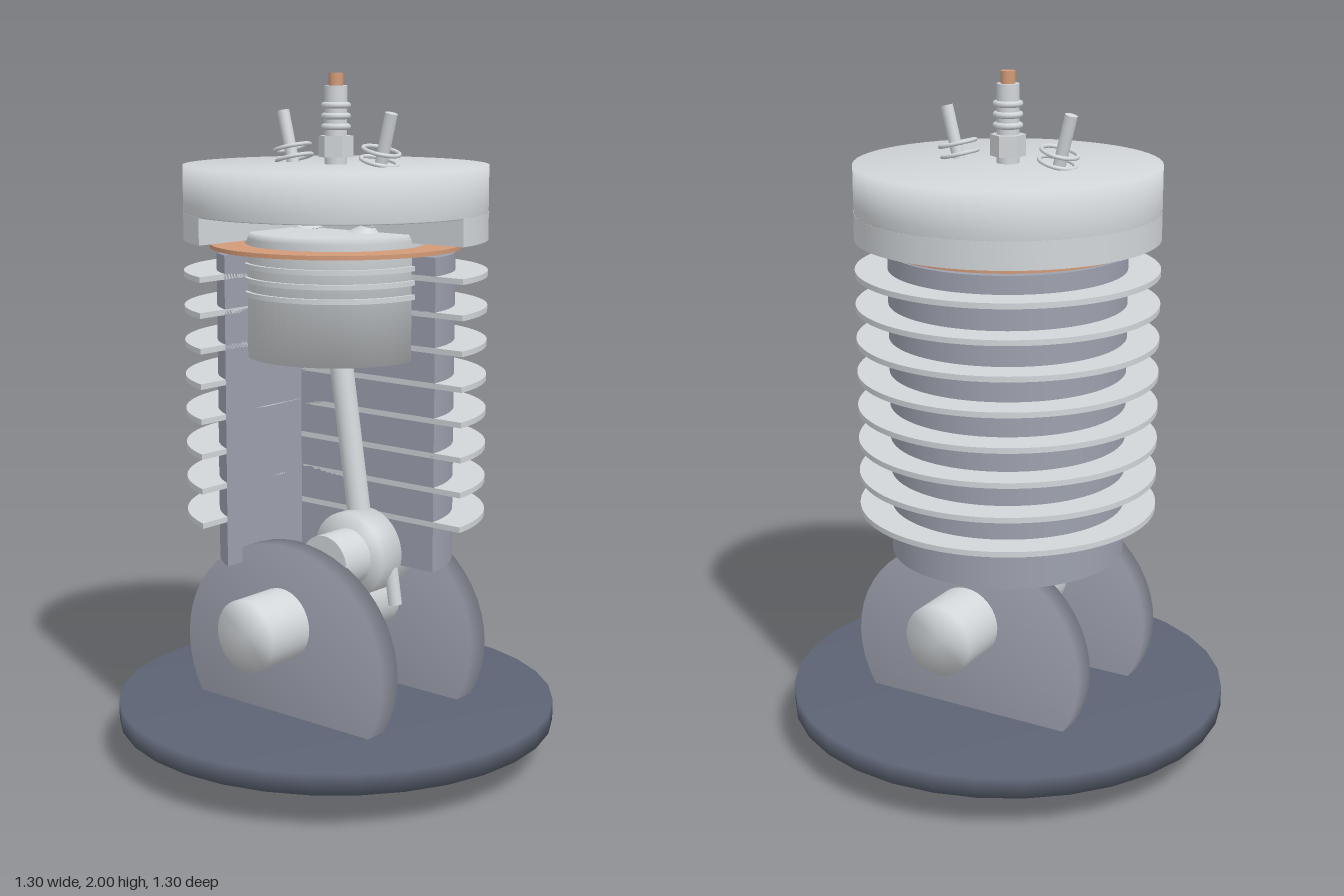
import * as THREE from 'three';
import { toCreasedNormals } from 'three/addons/utils/BufferGeometryUtils.js';

const mat = (name, color) => {
  const m = new THREE.MeshStandardMaterial({ color });
  m.name = name;
  return m;
};

const cyl = (r, h, n = 32, r2 = r) => new THREE.CylinderGeometry(r, r2, h, n);

// Turned part from [radius, y] points, listed from the bottom up
const turned = (points, n) =>
  new THREE.LatheGeometry(points.map(([x, y]) => new THREE.Vector2(x, y)), n);

// Centred disc whose shading rolls softly over the rims
const softDisc = (r, h, n = 40) => turned([[0, -h / 2], [r, -h / 2], [r, h / 2], [0, h / 2]], n);

// Solid disc with the front-left quadrant cut away, standing on y = 0
function cutDisc(r, height) {
  const cx = -0.15, cz = 0.02;
  const edge = -Math.sqrt(r * r - cx * cx);
  const s = new THREE.Shape();
  s.moveTo(cx, cz);
  s.lineTo(cx, edge);
  s.absarc(0, 0, r, Math.atan2(edge, cx), Math.asin(cz / r), true);
  s.closePath();
  const g = new THREE.ExtrudeGeometry(s, { depth: height, bevelEnabled: false, curveSegments: 56 });
  g.rotateX(-Math.PI / 2);
  return toCreasedNormals(g, 0.5);
}

export function createModel() {
  const slate = mat('dark slate', 0x5c6373);
  const steel = mat('blue grey steel', 0x9da1ae);
  const silver = mat('light metal', 0xd2d6d9);
  const copper = mat('copper', 0xd29a77);

  const model = new THREE.Group();
  model.name = 'cutawayEngine';
  const add = (name, geo, material, x = 0, y = 0, z = 0, parent = model) => {
    const m = new THREE.Mesh(geo, material);
    m.name = name;
    m.position.set(x, y, z);
    parent.add(m);
    return m;
  };

  // Round base
  add('base', softDisc(0.648, 0.06, 32), slate, 0, 0.14, 0);

  // Crankshaft: two webs, main shaft and crank pin
  for (const side of [-1, 1]) {
    const web = softDisc(0.37, 0.07, 48).rotateX(Math.PI / 2).scale(1, 0.91, 1);
    add('crankWeb', web, steel, 0, 0.338, side * 0.21);
  }
  add('mainShaft', softDisc(0.105, 0.8, 32).rotateX(Math.PI / 2), silver, 0, 0.443, 0);
  add('crankPin', cyl(0.083, 0.36).rotateX(Math.PI / 2), silver, 0.105, 0.625, 0);

  // Connecting rod with big end and its bolts
  const rod = new THREE.Group();
  rod.name = 'connectingRod';
  rod.position.set(0.105, 0.63, 0);
  rod.rotation.z = Math.atan2(0.105, 0.67);
  model.add(rod);
  add('rodShank', cyl(0.034, 0.6, 20), silver, 0, 0.38, 0, rod);
  add('bigEnd', softDisc(0.125, 0.14, 32).rotateX(Math.PI / 2), silver, 0, 0, 0, rod);
  for (const x of [-0.095, 0.095]) add('rodBolt', cyl(0.02, 0.14, 12), silver, x, -0.09, 0, rod);

  // Cylinder block and its cooling fins
  add('cylinderBlock', cutDisc(0.342, 0.9), steel, 0, 0.6, 0);
  for (let i = 0; i < 8; i++) {
    add('coolingFin', cutDisc(0.435, 0.016), silver, 0, 0.732 + i * 0.1, 0);
  }

  // Piston with three rings
  add('piston', turned([[0, 1.2], [0.26, 1.2], [0.26, 1.54], [0.25, 1.558], [0, 1.558]], 40), silver);
  for (const y of [1.385, 1.425, 1.465]) add('pistonRing', cyl(0.272, 0.014, 40), silver, 0, y, 0);

  // Head gasket
  const gasket = new THREE.Shape().absarc(0, 0, 0.36, 0, Math.PI * 2);
  gasket.holes.push(new THREE.Path().absarc(0, 0, 0.255, 0, Math.PI * 2));
  const gasketGeo = new THREE.ExtrudeGeometry(gasket, { depth: 0.012, bevelEnabled: false, curveSegments: 40 });
  add('headGasket', gasketGeo.rotateX(-Math.PI / 2), copper, 0, 1.51, 0);

  // Cylinder head: full crown over a cut-away skirt of the same radius
  const crown = [[0, 1.61], [0.432, 1.61], [0.435, 1.613], [0.435, 1.64], [0.435, 1.745], [0, 1.745]];
  add('headCrown', turned(crown, 56), silver);
  add('headSkirt', cutDisc(0.435, 0.078), silver, 0, 1.535, 0);

  // Tilted valves with springs, mirrored
  for (const side of [-1, 1]) {
    const valve = new THREE.Group();
    valve.name = side > 0 ? 'leftValve' : 'rightValve';
    valve.position.set(side * 0.115, 1.562, 0);
    valve.rotation.z = -side * 0.25;
    model.add(valve);
    add('valveStem', cyl(0.018, 0.34, 16), silver, 0, 0.17, 0, valve);
    add('valveHead', cyl(0.016, 0.03, 24, 0.055), silver, 0, 0, 0, valve);
    for (const y of [0.2, 0.23]) {
      const ring = new THREE.TorusGeometry(0.052, 0.006, 8, 28).rotateX(Math.PI / 2);
      add('valveSpring', ring, silver, -side * 0.008, y, 0, valve);
    }
  }

  // Spark plug: hexagonal nut, ribbed insulator and terminal
  const nut = cyl(0.05, 0.06, 6).toNonIndexed();
  nut.computeVertexNormals();
  add('plugNut', nut, silver, 0, 1.795, 0);
  add('plugBody', cyl(0.032, 0.225, 24), silver, 0, 1.8525, 0);
  for (const y of [1.85, 1.88, 1.91]) {
    add('plugRib', new THREE.TorusGeometry(0.034, 0.009, 8, 24).rotateX(Math.PI / 2), silver, 0, y, 0);
  }
  add('plugTerminal', cyl(0.021, 0.04, 20), copper, 0, 1.98, 0);

  return model;
}
